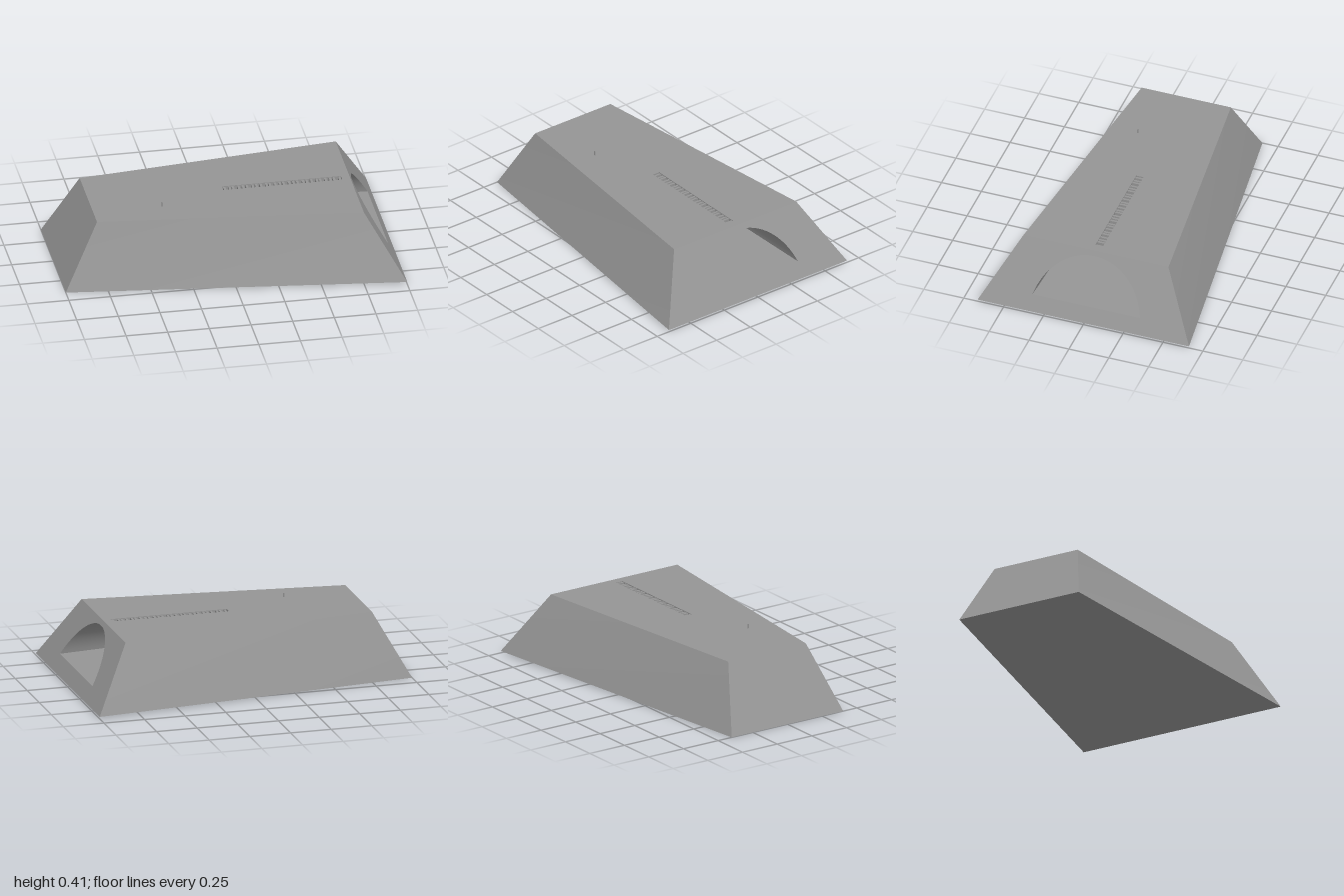
import * as THREE from 'three';

const material = new THREE.MeshStandardMaterial({ color: 0x949494 });
const thinMaterial = new THREE.MeshStandardMaterial({ color: 0x949494, side: THREE.DoubleSide });

const TOP = 0.388;       // height of the flat roof
const CROWN = 0.362;     // highest point of the tunnel ceiling
const LIFT = 0.012;      // height of the base edge at the wide end
const SLOT = { x0: 0.015, x1: 0.73, half: 0.023 };
const TUNNEL_END = 0;

// x of the sloping end face at height y
const faceX = (y) => 0.78 + (TOP - y) * (0.22 / (TOP - LIFT));

// One half of a circular-arc arch as [z, y] points, from the base to the slot edge
function archHalf(width, base, side, steps = 20) {
  const h = CROWN - base;
  const r = (width * width + h * h) / (2 * h);
  const tBase = Math.asin(width / r), tTop = Math.asin(SLOT.half / r);
  return Array.from({ length: steps + 1 }, (_, i) => {
    const t = tBase + (tTop - tBase) * (i / steps);
    return [side * r * Math.sin(t), CROWN - r + r * Math.cos(t)];
  });
}

// Surface between two rows of points
function loft(rowA, rowB) {
  const n = rowA.length, index = [];
  for (let i = 0; i < n - 1; i++) index.push(i, i + 1, n + i + 1, i, n + i + 1, n + i);
  const g = new THREE.BufferGeometry();
  g.setAttribute('position', new THREE.Float32BufferAttribute([...rowA, ...rowB].flat(), 3));
  g.setIndex(index);
  g.computeVertexNormals();
  return g;
}
const quad = (a, b, c, d) => loft([a, b], [d, c]);

// Flat shape whose points are moved to 3D by a rule
function mappedShape(shape, rule) {
  const g = new THREE.ShapeGeometry(shape);
  const p = g.attributes.position;
  for (let i = 0; i < p.count; i++) p.setXYZ(i, ...rule(p.getX(i), p.getY(i)));
  g.computeVertexNormals();
  return g;
}
const outline = (points) => points.map(([x, y]) => new THREE.Vector2(x, y));

export function createModel() {
  const model = new THREE.Group();
  const add = (name, geometry, mat = material) => {
    const mesh = new THREE.Mesh(geometry, mat);
    mesh.name = name;
    model.add(mesh);
    return mesh;
  };

  // Tapered hull: corners of base and roof
  const base = [[-1, 0, 0.402], [1, LIFT, 0.663], [1, LIFT, -0.663], [-1, 0, -0.402]];
  const roof = [[-0.79, TOP, 0.28], [0.78, TOP, 0.455], [0.78, TOP, -0.455], [-0.79, TOP, -0.28]];
  const wall = (i) => quad(base[i], base[(i + 1) % 4], roof[(i + 1) % 4], roof[i]);
  add('frontWall', wall(0));
  add('backWall', wall(2));
  add('narrowEndWall', wall(3));
  add('underside', quad(base[3], base[2], base[1], base[0]));

  // Roof with the long slot
  const { x0, x1, half } = SLOT;
  const roofShape = new THREE.Shape(outline(roof.map(([x, , z]) => [x, -z])));
  roofShape.holes.push(new THREE.Path(outline([[x0, -half], [x0, half], [x1, half], [x1, -half]])));
  add('roof', mappedShape(roofShape, (u, v) => [u, TOP, -v]));

  // Wide end wall with the arched opening
  const mouth = [archHalf(0.337, 0.1, 1), archHalf(0.337, 0.1, -1)];
  const inner = [archHalf(0.26, 0.165, 1), archHalf(0.26, 0.165, -1)];
  const ring = (halves) => outline([...halves[0], ...[...halves[1]].reverse()].map(([z, y]) => [-z, y]));
  const endShape = new THREE.Shape(outline([[-0.663, LIFT], [0.663, LIFT], [0.455, TOP], [-0.455, TOP]]));
  endShape.holes.push(new THREE.Path(ring(mouth)));
  add('wideEndWall', mappedShape(endShape, (u, v) => [faceX(v), v, -u]));

  // Tapering tunnel: curved sides, rising floor and end wall
  const atMouth = ([z, y]) => [faceX(y), y, z];
  const atEnd = ([z, y]) => [TUNNEL_END, y, z];
  [0, 1].forEach((s) => add('tunnelArch', loft(mouth[s].map(atMouth), inner[s].map(atEnd)), thinMaterial));
  add('tunnelFloor', quad(atMouth(mouth[0][0]), atMouth(mouth[1][0]), atEnd(inner[1][0]), atEnd(inner[0][0])), thinMaterial);
  add('tunnelEndWall', mappedShape(new THREE.Shape(ring(inner)), (u, v) => [TUNNEL_END, v, -u]));

  // Slot sides, and the solid crown at each end of the slot
  for (const z of [-half, half]) {
    add('slotSide', quad([x0, CROWN, z], [x1, CROWN, z], [x1, TOP, z], [x0, TOP, z]), thinMaterial);
  }
  const crownBlock = (name, a, b, top) => {
    const g = new THREE.BoxGeometry(b - a, top - CROWN + 0.001, half * 2);
    add(name, g).position.set((a + b) / 2, (top + CROWN - 0.001) / 2, 0);
  };
  crownBlock('slotEnd', TUNNEL_END, x0, TOP - 0.001);
  crownBlock('slotEnd', x1, 0.78, TOP - 0.001);

  // Thin, unevenly spaced ribs set just below the roof across the slot
  const ribs = 26, pitch = (x1 - x0) / ribs;
  for (let i = 0; i < ribs; i++) {
    const start = x0 + pitch * (i + 0.25 + 0.15 * Math.sin(i * 2.3));
    crownBlock('slotRib', start, start + pitch * 0.5, TOP - 0.004);
  }

  // Small pin standing on the roof
  add('pin', new THREE.CylinderGeometry(0.004, 0.004, 0.03, 12)).position.set(-0.375, 0.4, 0.155);

  return model;
}
